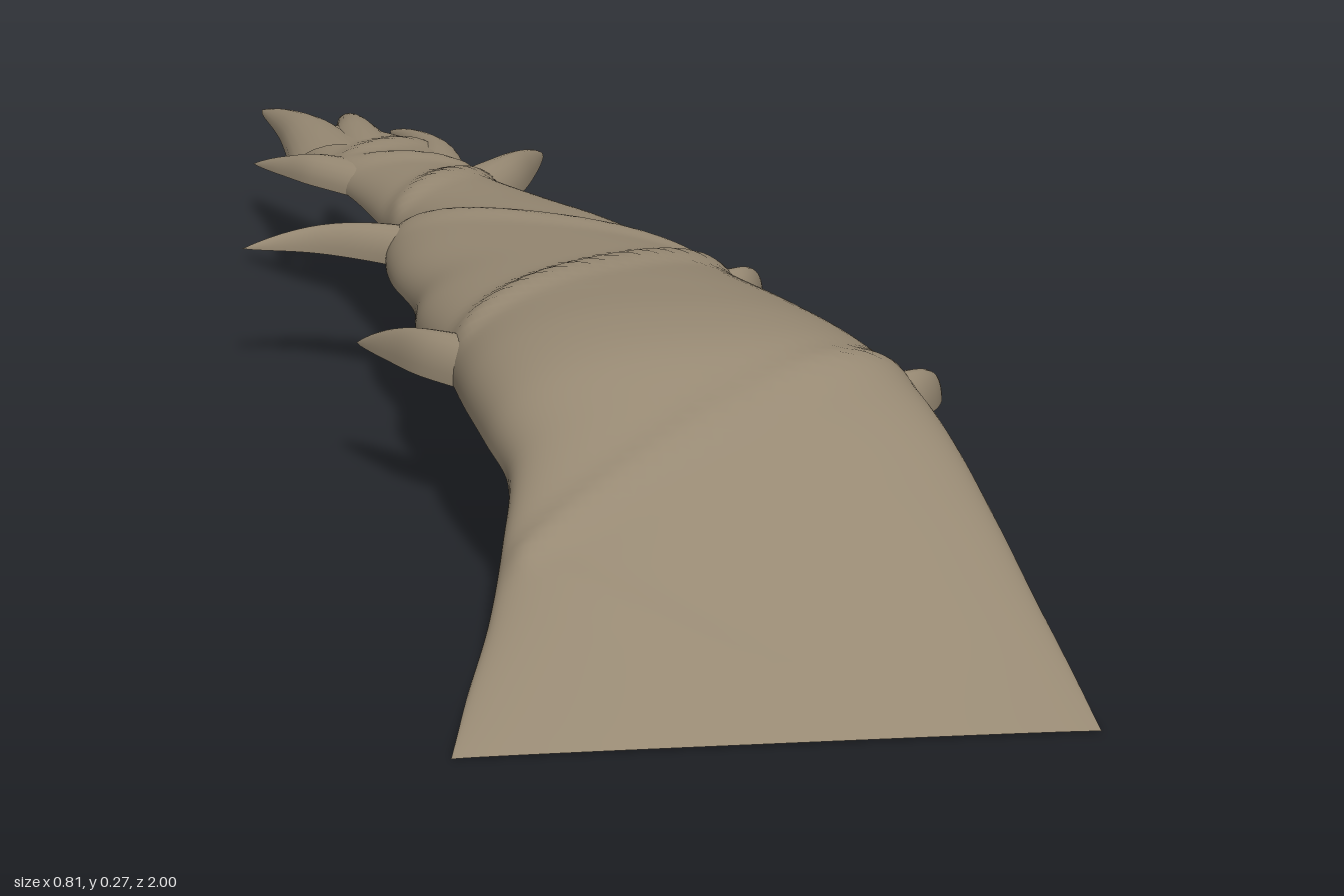
import * as THREE from 'three';

const bark = new THREE.MeshStandardMaterial({ color: 0x978973, side: THREE.DoubleSide });
bark.name = 'bark';

// Surface from a grid of points: rows run along the length, columns from left edge to right edge
function sheet(name, rows, cols, point) {
  const pos = [], index = [];
  for (let i = 0; i <= rows; i++) {
    for (let j = 0; j <= cols; j++) {
      pos.push(...point(i / rows, j / cols));
      if (i < rows && j < cols) {
        const a = i * (cols + 1) + j, c = a + cols + 1;
        index.push(a, a + 1, c, a + 1, c + 1, c);
      }
    }
  }
  const g = new THREE.BufferGeometry();
  g.setAttribute('position', new THREE.Float32BufferAttribute(pos, 3));
  g.setIndex(index);
  g.computeVertexNormals();
  const mesh = new THREE.Mesh(g, bark);
  mesh.name = name;
  return mesh;
}

// Rounded arch: across runs -1..1, up runs 0..1
function arch(v, n) {
  const a = Math.PI * (1 - v), c = Math.cos(a), s = Math.max(0, Math.sin(a));
  return [Math.sign(c) * Math.abs(c) ** (2 / n), s ** (2 / n)];
}

// Trunk cross-sections: z, low-x edge, high-x edge, rim height, crown height
const sections = [
  [1, -0.26, 0.40, 0, 0.002], [0.9, -0.235, 0.39, 0.025, 0.053], [0.8, -0.205, 0.375, 0.056, 0.105],
  [0.68, -0.178, 0.355, 0.1, 0.167], [0.56, -0.16, 0.333, 0.138, 0.227], [0.48, -0.175, 0.315, 0.155, 0.258],
  [0.38, -0.19, 0.285, 0.166, 0.27], [0.25, -0.2, 0.245, 0.167, 0.266], [0.1, -0.222, 0.195, 0.167, 0.255],
  [0, -0.217, 0.16, 0.167, 0.249], [-0.12, -0.235, 0.115, 0.167, 0.241], [-0.22, -0.235, 0.07, 0.167, 0.235],
  [-0.3, -0.22, 0.02, 0.167, 0.229], [-0.42, -0.237, -0.045, 0.167, 0.222], [-0.52, -0.258, -0.08, 0.167, 0.214],
  [-0.62, -0.288, -0.105, 0.167, 0.207], [-0.7, -0.305, -0.13, 0.167, 0.202], [-0.8, -0.315, -0.19, 0.167, 0.192],
];
const profile = new THREE.CubicInterpolant(
  sections.map(s => -s[0]), sections.flatMap(s => s.slice(1)), 4, new Float32Array(4));

// Diagonal ridges winding over the trunk: x, z to x, z, height
const ridges = [
  [0.30, 0.44, -0.16, 0.73, 0.008], [-0.16, 0.75, 0.12, 0.96, 0.004],
  [0.17, 0.01, -0.19, 0.26, 0.01], [-0.22, -0.24, 0.13, -0.02, 0.007],
  [-0.08, -0.48, -0.22, -0.34, 0.008], [-0.26, -0.58, -0.11, -0.53, 0.007],
  [-0.13, -0.7, -0.28, -0.6, 0.006],
];
function ridgeHeight(x, z) {
  let h = 0;
  for (const [x0, z0, x1, z1, amp] of ridges) {
    const dx = x1 - x0, dz = z1 - z0;
    const t = THREE.MathUtils.clamp(((x - x0) * dx + (z - z0) * dz) / (dx * dx + dz * dz), 0, 1);
    const d = Math.hypot(x - x0 - t * dx, z - z0 - t * dz);
    h += amp * Math.exp(-((d / 0.02) ** 2));
  }
  return h;
}

// Curved half-round spike lying on the rim plane, tapering to a point
function spike(name, path, width, height, base = 0.166) {
  const curve = new THREE.CatmullRomCurve3(path.map(([x, z]) => new THREE.Vector3(x, base, z)));
  return sheet(name, 16, 12, (u, v) => {
    const p = curve.getPoint(u), d = curve.getTangent(u);
    const [across, up] = arch(v, 2);
    const w = width * (0.25 * (1 - u) ** 3 + 0.8 * (1 - u) ** 0.65);
    const h = height * (1 - u ** 3);
    return [p.x - d.z * across * w, base + up * h, p.z + d.x * across * w];
  });
}

export function createModel() {
  const group = new THREE.Group();
  group.name = 'hollowBranch';

  // Hollow trunk, open below, with a flat lip at the front
  group.add(sheet('trunk', 120, 48, (u, v) => {
    const z = 1 - 1.8 * u;
    const [x0, x1, rim, crown] = profile.evaluate(-z);
    const [across, up] = arch(v, THREE.MathUtils.lerp(2.7, 2, u));
    const x = (x0 + x1) / 2 + across * (x1 - x0) / 2;
    const fade = Math.min(1, up * 2) * Math.min(1, (1 - z) * 8);
    return [x, rim + up * (crown - rim) + ridgeHeight(x, z) * fade, z];
  }));

  // Side thorns
  const thorns = [
    ['rightThornFront', [[-0.15, 0.29], [-0.21, 0.235], [-0.25, 0.18], [-0.293, 0.115]], 0.04, 0.05],
    ['rightThornMiddle', [[-0.17, -0.2], [-0.245, -0.25], [-0.32, -0.285], [-0.408, -0.298]], 0.038, 0.043],
    ['rightThornBack', [[-0.22, -0.55], [-0.29, -0.615], [-0.325, -0.65], [-0.375, -0.71]], 0.04, 0.036],
    ['leftThornFront', [[0.25, 0.48], [0.30, 0.445], [0.328, 0.41], [0.343, 0.355]], 0.036, 0.05],
    ['leftThornMiddle', [[0.11, 0.06], [0.165, 0.02], [0.19, -0.02], [0.206, -0.075]], 0.036, 0.05],
    ['leftThornBack', [[-0.11, -0.47], [-0.06, -0.545], [-0.025, -0.62], [0.012, -0.72]], 0.045, 0.045],
  ];
  // Splintered tail
  const splinters = [
    ['longSplinter', [[-0.265, -0.66], [-0.29, -0.8], [-0.315, -0.89], [-0.35, -1]], 0.062, 0.036],
    ['middleSplinter', [[-0.22, -0.66], [-0.232, -0.78], [-0.235, -0.86], [-0.242, -0.945]], 0.055, 0.038],
    ['shortSplinter', [[-0.145, -0.58], [-0.135, -0.68], [-0.155, -0.77], [-0.182, -0.865]], 0.045, 0.034],
  ];
  for (const s of [...thorns, ...splinters]) group.add(spike(...s));
  return group;
}
